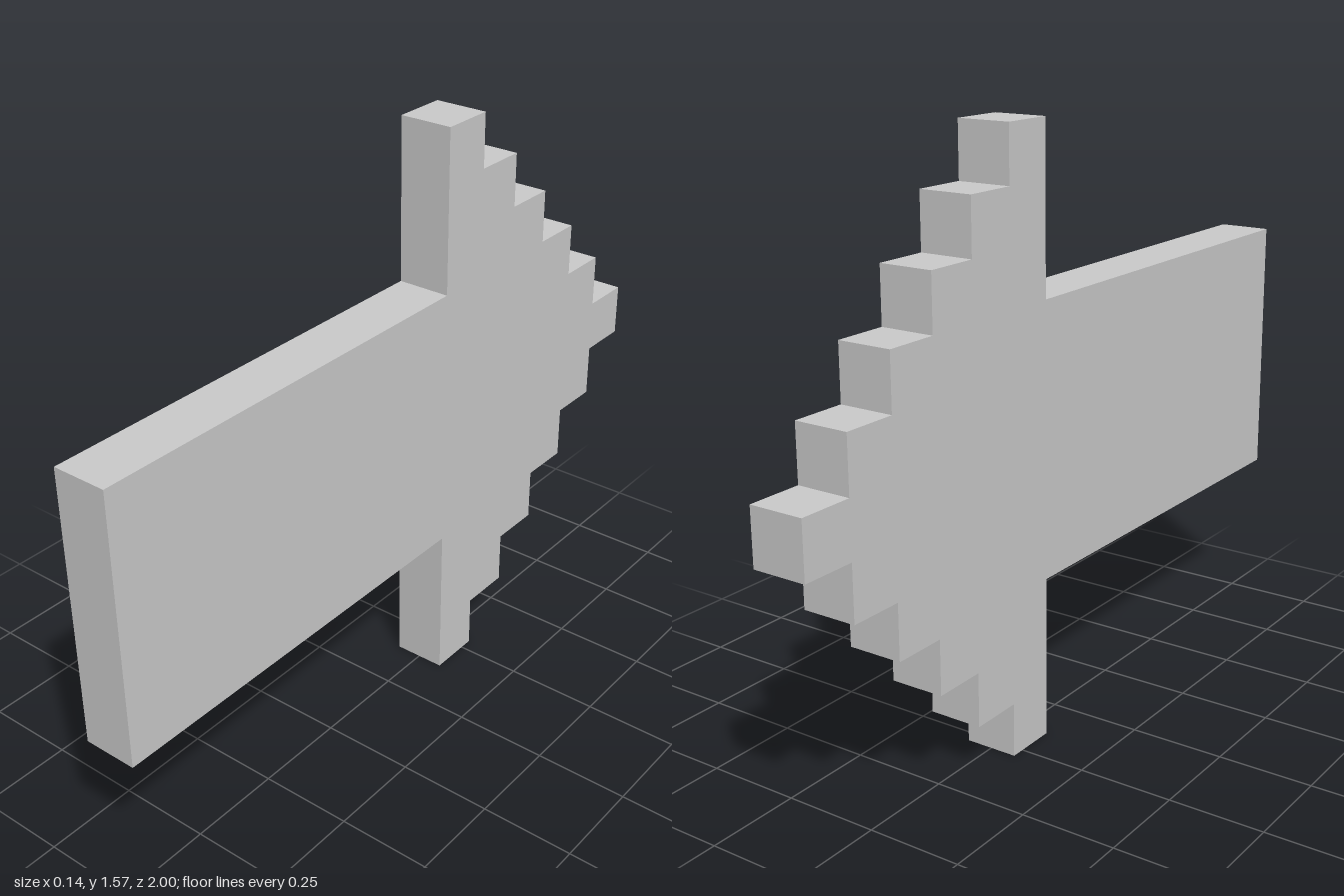
import * as THREE from 'three';

const U = 1 / 7; // one step of the blocky outline
const STEPS = 5; // stairs on each side of the arrow tip

export function createModel() {
  const group = new THREE.Group();
  group.name = 'arrow';

  // Outline in steps: first value runs towards the tip, second is height
  const outline = [[-7, 3], [1, 3], [1, 0]];
  // Lower stairs, out to the tip
  for (let k = 0; k < STEPS; k++) outline.push([2 + k, k], [2 + k, k + 1]);
  // Tip and upper stairs, back to the shaft
  for (let k = STEPS; k >= 0; k--) outline.push([2 + k, 10 - k], [2 + k, 11 - k]);
  outline.push([1, 11], [1, 8], [-7, 8]);

  const shape = new THREE.Shape(outline.map(([a, y]) => new THREE.Vector2(a * U, y * U)));
  const geometry = new THREE.ExtrudeGeometry(shape, { depth: U, bevelEnabled: false });
  geometry.translate(0, 0, -U / 2);
  geometry.rotateY(Math.PI / 2); // tip points to the back

  const arrow = new THREE.Mesh(
    geometry,
    new THREE.MeshStandardMaterial({ color: 0xcccccc, flatShading: true })
  );
  arrow.name = 'steppedArrow';
  group.add(arrow);
  return group;
}
